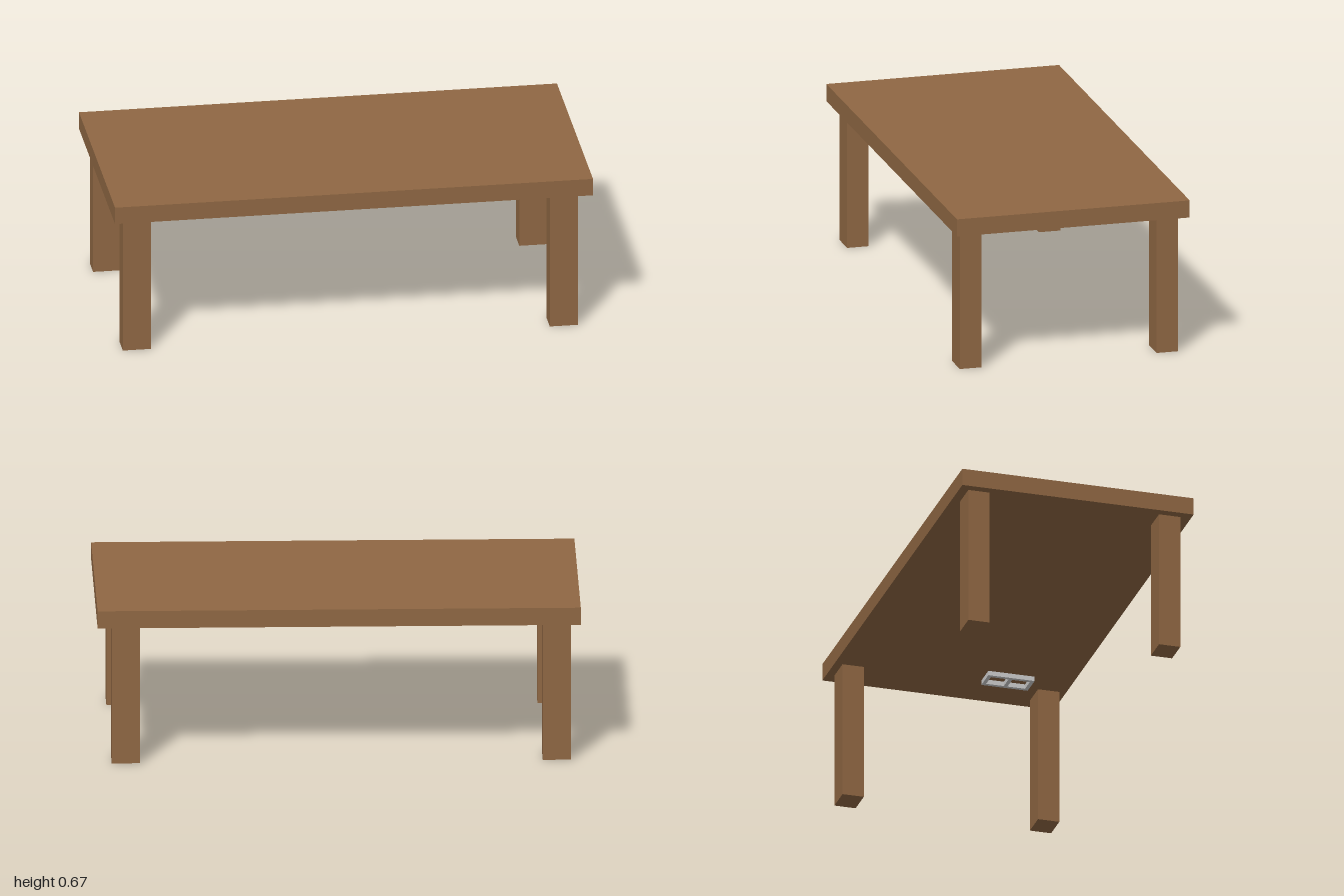
import * as THREE from 'three';

export function createModel() {
  const model = new THREE.Group();
  const wood = new THREE.MeshStandardMaterial({ color: 0x8f6743 });
  const metal = new THREE.MeshStandardMaterial({ color: 0xcccccc });

  const underside = 0.593, top = 0.667;

  const addBox = (name, size, position) => {
    const mesh = new THREE.Mesh(new THREE.BoxGeometry(...size), wood);
    mesh.name = name;
    mesh.position.set(...position);
    model.add(mesh);
  };

  // Thick slab top
  addBox('tableTop', [2, top - underside, 1], [0, (top + underside) / 2, 0]);

  // Four equal legs, placed slightly unevenly
  const legs = {
    frontLeftLeg: [0.882, 0.425],
    frontRightLeg: [-0.902, 0.408],
    backLeftLeg: [0.882, -0.42],
    backRightLeg: [-0.902, -0.416],
  };
  for (const [name, [x, z]] of Object.entries(legs)) {
    addBox(name, [0.117, underside, 0.092], [x, underside / 2, z]);
  }

  // Small frame with two square openings, fixed under the top
  const width = 0.1, length = 0.2, bar = 0.016, depth = 0.02;
  const rectangle = (Type, x, y, w, h) => new Type().setFromPoints([
    new THREE.Vector2(x, y), new THREE.Vector2(x + w, y),
    new THREE.Vector2(x + w, y + h), new THREE.Vector2(x, y + h),
  ]);
  const outline = rectangle(THREE.Shape, -width / 2, -length / 2, width, length);
  const opening = (length - 3 * bar) / 2;
  for (const y of [-length / 2 + bar, bar / 2]) {
    outline.holes.push(rectangle(THREE.Path, -width / 2 + bar, y, width - 2 * bar, opening));
  }
  const frameGeometry = new THREE.ExtrudeGeometry(outline, { depth, bevelEnabled: false });
  frameGeometry.rotateX(Math.PI / 2);
  const frame = new THREE.Mesh(frameGeometry, metal);
  frame.name = 'undersideFrame';
  frame.position.set(0.76, underside, 0.23);
  model.add(frame);

  return model;
}
